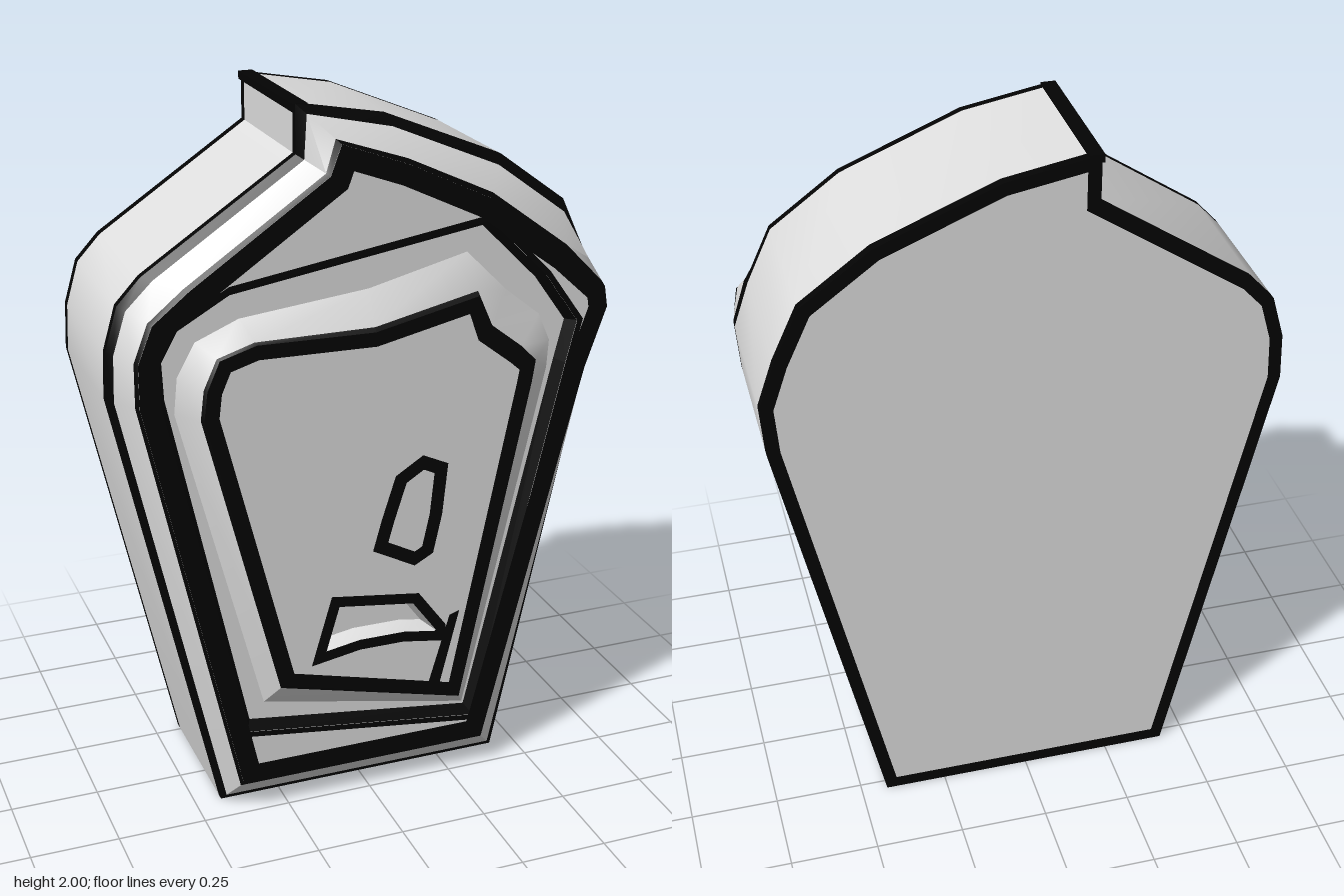
import * as THREE from 'three';
import { toCreasedNormals } from 'three/addons/utils/BufferGeometryUtils.js';

// Outlines, counter-clockwise seen from the front
const OUTER = [[-.425, 0], [.425, 0], [.695, 1.26], [.705, 1.4], [.66, 1.53], [.59, 1.68], [.40, 1.82], [.07, 1.955],
  [-.18, 2], [-.18, 1.87], [-.6, 1.59], [-.665, 1.52], [-.70, 1.4], [-.705, 1.27]];
const FRONT = [[-.385, .1], [.345, .1], [.63, 1.22], [.69, 1.39], [.68, 1.45], [.56, 1.56], [.33, 1.73], [.1, 1.84],
  [-.09, 1.91], [-.12, 1.83], [-.5, 1.57], [-.6, 1.49], [-.64, 1.39], [-.64, 1.27]];
const RECESS = [[-.37, .265], [.32, .175], [.57, 1.24], [.6, 1.36], [.5, 1.5], [.33, 1.67], [-.39, 1.555],
  [-.54, 1.47], [-.59, 1.38], [-.585, 1.27]];
const PANEL_BASE = [[-.31, .33], [.30, .205], [.53, 1.22], [.535, 1.3], [.5, 1.38], [.40, 1.46], [.28, 1.58],
  [0, 1.51], [-.36, 1.47], [-.48, 1.42], [-.53, 1.33], [-.54, 1.23]];
const PANEL_TOP = [[-.27, .4], [.265, .26], [.455, 1.2], [.465, 1.26], [.42, 1.3], [.33, 1.37], [.295, 1.47],
  [0, 1.405], [-.33, 1.41], [-.43, 1.38], [-.465, 1.3], [-.475, 1.22]];
const DENT = [[-.185, .445], [-.04, .47], [.09, .47], [.215, .45], [.22, .5], [.135, .615], [-.125, .65]];
const CHIP = [[-.005, .77], [.12, .705], [.175, .735], [.2, .85], [.215, 1], [.14, 1.035], [.06, .985], [.02, .86]];
const CRACK = [[.165, .31], [.2, .3], [.26, .54], [.23, .53]];

// Moves every edge of an outline inwards by d, with mitred corners
function inset(pts, d) {
  const n = pts.length;
  return pts.map((p, i) => {
    const a = pts[(i + n - 1) % n], b = pts[(i + 1) % n];
    const u = new THREE.Vector2(p[0] - a[0], p[1] - a[1]).normalize();
    const v = new THREE.Vector2(b[0] - p[0], b[1] - p[1]).normalize();
    const k = d / (1 + u.dot(v));
    return [p[0] - (u.y + v.y) * k, p[1] + (u.x + v.x) * k];
  });
}

const mix = (a, b, t) => a.map((p, i) => [p[0] + (b[i][0] - p[0]) * t, p[1] + (b[i][1] - p[1]) * t]);

// Surface strip between two closed loops
function band(a, za, b, zb) {
  const pos = [], idx = [], n = a.length;
  a.forEach(p => pos.push(p[0], p[1], za));
  b.forEach(p => pos.push(p[0], p[1], zb));
  for (let i = 0; i < n; i++) {
    const j = (i + 1) % n;
    idx.push(i, j, n + j, i, n + j, n + i);
  }
  const g = new THREE.BufferGeometry();
  g.setAttribute('position', new THREE.Float32BufferAttribute(pos, 3));
  g.setIndex(idx);
  g.computeVertexNormals();
  return toCreasedNormals(g, 0.6);
}

// The part of a sloping band between the fractions s and t
const slope = (a, za, b, zb, s, t) =>
  band(mix(a, b, s), za + (zb - za) * s, mix(a, b, t), za + (zb - za) * t);

// Flat face with optional hole, facing the front
function face(pts, z, hole) {
  const toV = q => q.map(p => new THREE.Vector2(p[0], p[1]));
  const s = new THREE.Shape(toV(pts));
  if (hole) s.holes.push(new THREE.Path(toV(hole)));
  return new THREE.ShapeGeometry(s).translate(0, 0, z);
}

export function createModel() {
  const model = new THREE.Group();
  model.name = 'stoneSlab';
  const stone = new THREE.MeshStandardMaterial({ color: 0xdedede });
  stone.name = 'pale grey stone';
  const ink = new THREE.MeshStandardMaterial({ color: 0x030303 });
  ink.name = 'black outline';
  const add = (name, geometry, material) => {
    const m = new THREE.Mesh(geometry, material);
    m.name = name;
    model.add(m);
  };

  const BACK = -.28, RIM = .16, FACE = .255, FLOOR = .22, TOP = .273;

  // Back, with its outlined edge
  const backInner = inset(OUTER, .036);
  const backFace = face(backInner.map(p => [-p[0], p[1]]).reverse(), -BACK).rotateY(Math.PI);
  add('backFace', backFace, stone);
  add('backOutline', band(backInner, BACK, OUTER, BACK), ink);

  // Side wall and its outlines
  add('sideBackOutline', band(OUTER, BACK, OUTER, BACK + .026), ink);
  add('sideWall', band(OUTER, BACK + .026, OUTER, RIM - .021), stone);
  add('sideFrontOutline', band(OUTER, RIM - .021, OUTER, RIM), ink);
  const notch = new THREE.BoxGeometry(.04, .022, RIM - BACK).translate(-.167, 1.989, (RIM + BACK) / 2);
  add('notchOutline', notch, ink);

  // Uneven front bevel, outlined along both edges
  add('bevelOuterOutline', slope(OUTER, RIM, FRONT, FACE, 0, .25), ink);
  add('frontBevel', slope(OUTER, RIM, FRONT, FACE, .25, .87), stone);
  add('bevelInnerOutline', slope(OUTER, RIM, FRONT, FACE, .87, 1), ink);

  // Front face around the sunken area
  add('frontFace', face(FRONT, FACE, RECESS), stone);
  add('frontOutline', band(FRONT, FACE + .002, inset(FRONT, .056), FACE + .002), ink);
  add('recessOutline', band(inset(RECESS, -.016), FACE + .002, RECESS, FACE + .002), ink);
  add('recessWall', band(RECESS, FACE, inset(RECESS, .02), FLOOR), ink);
  add('recessFloor', face(RECESS, FLOOR), stone);

  // Raised panel
  const panelInner = inset(PANEL_TOP, .04);
  add('panelBevel', slope(PANEL_BASE, FLOOR, PANEL_TOP, TOP, 0, .88), stone);
  add('panelBevelOutline', slope(PANEL_BASE, FLOOR, PANEL_TOP, TOP, .88, 1), ink);
  add('panelOutline', band(PANEL_TOP, TOP, panelInner, TOP), ink);
  add('panelFace', face(panelInner, TOP, DENT), stone);

  // Dent sunk into the panel
  const dentRim = inset(DENT, .031), dentFloor = inset(DENT, .045);
  add('dentOutline', band(DENT, TOP, dentRim, TOP), ink);
  add('dentWall', band(dentRim, TOP, dentFloor, FLOOR + .005), stone);
  add('dentFloor', face(dentFloor, FLOOR + .005), stone);

  // Drawn chip and crack
  add('chipOutline', band(CHIP, TOP + .002, inset(CHIP, .038), TOP + .002), ink);
  add('crack', face(CRACK, TOP + .002), ink);

  return model;
}
